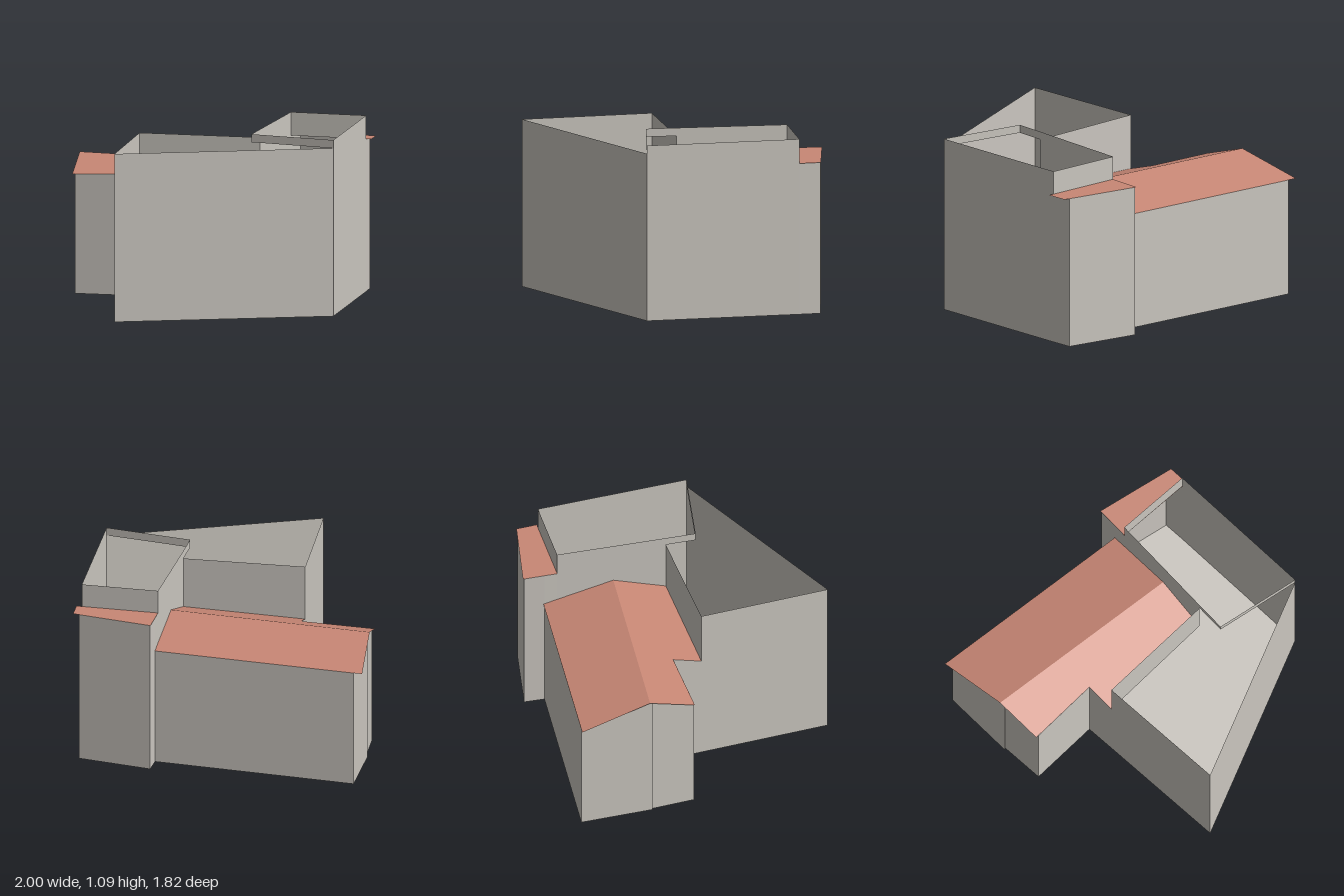
import * as THREE from 'three';

const MAIN = 1.04, TALL = 1.09, ANNEX = 0.945, RIDGE = 0.83;

// Height of the pitched wing roof above a plan point
const ridgeZ = x => -0.265 - 0.067 * (x + 0.89);
const wingRoofY = (x, z) => {
  const d = z - ridgeZ(x);
  return RIDGE - (d > 0 ? 0.32 * d : -0.23 * d);
};
const heightAt = (h, [x, z]) => (typeof h === 'function' ? h(x, z) : h);

// Flat or sloping sheet over a plan outline
function sheet(outline, h) {
  const pts = outline.map(p => new THREE.Vector2(p[0], p[1]));
  const pos = THREE.ShapeUtils.triangulateShape(pts, []).flatMap(face => {
    const c = face.map(i => outline[i]);
    const cross = (c[1][0] - c[0][0]) * (c[2][1] - c[0][1]) - (c[1][1] - c[0][1]) * (c[2][0] - c[0][0]);
    if (cross > 0) c.reverse(); // face upwards
    return c.flatMap(p => [p[0], heightAt(h, p), p[1]]);
  });
  return toGeometry(pos);
}

// Upright thin walls along a plan path, between a bottom and a top height
function walls(path, bottom, top) {
  const pos = [];
  for (let i = 0; i + 1 < path.length; i++) {
    const a = path[i], b = path[i + 1];
    const a0 = [a[0], heightAt(bottom, a), a[1]], a1 = [a[0], heightAt(top, a), a[1]];
    const b0 = [b[0], heightAt(bottom, b), b[1]], b1 = [b[0], heightAt(top, b), b[1]];
    pos.push(...a0, ...b0, ...b1, ...a0, ...b1, ...a1);
  }
  return toGeometry(pos);
}

function toGeometry(pos) {
  const g = new THREE.BufferGeometry();
  g.setAttribute('position', new THREE.Float32BufferAttribute(pos, 3));
  g.computeVertexNormals();
  return g;
}

export function createModel() {
  const group = new THREE.Group();
  const wallMat = new THREE.MeshStandardMaterial({ color: 0xcbc7c0, side: THREE.DoubleSide });
  wallMat.name = 'wallGrey';
  const roofMat = new THREE.MeshStandardMaterial({ color: 0xc88775, side: THREE.DoubleSide });
  roofMat.name = 'roofTile';
  const add = (name, geometry, material) => {
    const m = new THREE.Mesh(geometry, material);
    m.name = name;
    group.add(m);
  };

  // Plan corners
  const front = [-0.135, 0.91], east = [1, 0.17], tallBack = [0.805, -0.765];
  const annexE = [0.775, -0.895], annexW = [0.305, -0.907];
  const wingJoin = [0.32, -0.78], tallWest = [0.332, -0.7], ridgeEnd = [0.38, -0.35];
  const inner = [0.425, -0.022], bandW = [0.452, 0.165];
  const wingNW = [-0.945, -0.695], gableA = [-0.865, -0.25], gableB = [-0.855, -0.252];
  const wingSW = [-0.793, 0.015], notch = [-0.362, -0.065], mainW = [-0.32, 0.113];

  // Floor under the whole footprint
  add('floor', sheet([front, east, tallBack, annexE, annexW, wingJoin, wingNW,
    gableA, gableB, wingSW, notch, mainW], 0), wallMat);

  // Open-topped main block
  add('mainWalls', walls([mainW, front, east], 0, MAIN), wallMat);
  add('mainBackWall', walls([inner, mainW], wingRoofY, MAIN), wallMat);

  // Taller open block beside it
  add('tallEastWall', walls([east, tallBack], 0, TALL), wallMat);
  add('tallBackWall', walls([tallBack, tallWest], ANNEX, TALL), wallMat);
  add('tallWestWall', walls([tallWest, ridgeEnd, inner], wingRoofY, TALL), wallMat);
  add('tallParapet', walls([inner, bandW, east], MAIN, TALL), wallMat);

  // Annex at the back
  add('annexWalls', walls([tallBack, annexE, annexW, wingJoin], 0, ANNEX), wallMat);
  add('annexSideWall', walls([wingJoin, tallWest], wingRoofY, ANNEX), wallMat);
  add('annexRoof', sheet([tallWest, [0.84, -0.768], [0.812, -0.897], [0.3, -0.914]], ANNEX), roofMat);

  // Wing with pitched roof
  add('wingWalls', walls([wingJoin, wingNW, gableA, gableB, wingSW, notch, mainW], 0, wingRoofY), wallMat);
  const ridgeWest = [-0.886, ridgeZ(-0.886)];
  const ridgeEast = [0.38, ridgeZ(0.38)];
  add('wingRoofBack', sheet([ridgeWest, [-1, -0.695], [0.32, -0.786], tallWest, ridgeEast], wingRoofY), roofMat);
  add('wingRoofFront', sheet([ridgeWest, ridgeEast, inner, mainW, notch, [-0.812, 0.018]], wingRoofY), roofMat);

  return group;
}
